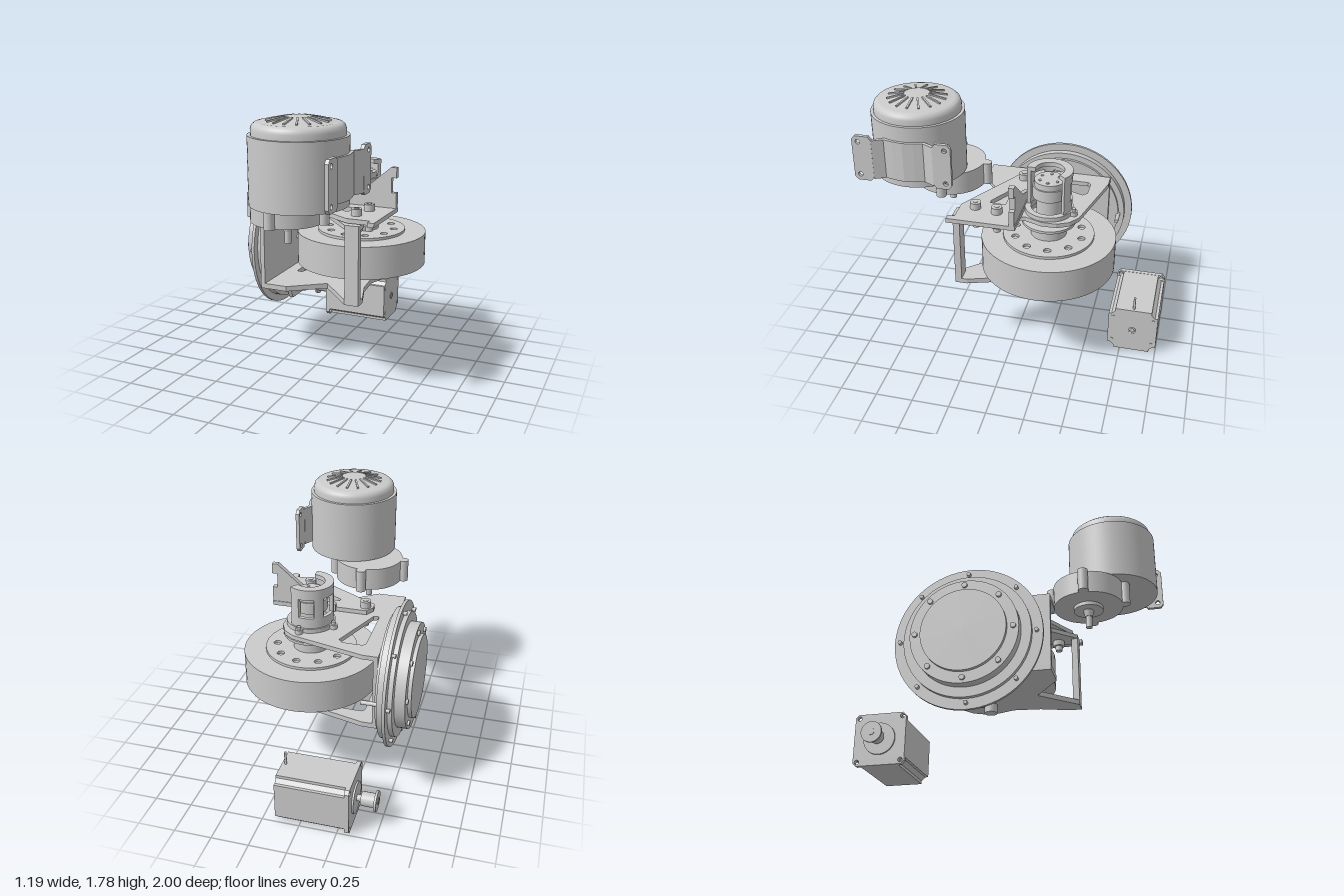
import * as THREE from 'three';

const mat = new THREE.MeshStandardMaterial({ color: 0xcccccc, side: THREE.DoubleSide });
const SHAFT = [0.14, -0.22]; // x, z of the flywheel axis

export function createModel() {
  const root = new THREE.Group();
  let target = root;
  const part = (name) => {
    target = new THREE.Group();
    target.name = name;
    root.add(target);
  };
  const add = (name, geo) => {
    const m = new THREE.Mesh(geo, mat);
    m.name = name;
    target.add(m);
    return m;
  };
  // upright cylinder between two heights
  const cylY = (name, r, y0, y1, x, z, n = 48, r0 = r) =>
    add(name, new THREE.CylinderGeometry(r, r0, y1 - y0, n).translate(x, (y0 + y1) / 2, z));
  // cylinder along x
  const cylX = (name, r, x0, x1, y, z, n = 48) =>
    add(name, new THREE.CylinderGeometry(r, r, x1 - x0, n).rotateZ(Math.PI / 2).translate((x0 + x1) / 2, y, z));
  const box = (name, x0, x1, y0, y1, z0, z1) =>
    add(name, new THREE.BoxGeometry(x1 - x0, y1 - y0, z1 - z0).translate((x0 + x1) / 2, (y0 + y1) / 2, (z0 + z1) / 2));
  const poly = (pts) => new THREE.Shape(pts.map(([a, b]) => new THREE.Vector2(a, b)));
  const circle = (x, y, r) => new THREE.Path().absarc(x, y, r, 0, Math.PI * 2);
  const extrude = (s, depth) => new THREE.ExtrudeGeometry(s, { depth, bevelEnabled: false, curveSegments: 24 });
  // horizontal plate; shape drawn in (x, -z)
  const slab = (name, s, y0, y1) => add(name, extrude(s, y1 - y0).rotateX(-Math.PI / 2).translate(0, y0, 0));
  // plate facing sideways; shape drawn in (-z, y)
  const side = (name, s, x0, x1) => add(name, extrude(s, x1 - x0).rotateY(Math.PI / 2).translate(x0, 0, 0));
  const floor = (pts) => poly(pts.map(([x, z]) => [x, -z]));
  // arc-shaped band around the flywheel axis, angles in degrees
  const band = (name, r0, r1, a0, a1, y0, y1) => {
    const s = new THREE.Shape(), a = a0 * Math.PI / 180, b = a1 * Math.PI / 180;
    s.absarc(SHAFT[0], -SHAFT[1], r1, a, b, false);
    s.absarc(SHAFT[0], -SHAFT[1], r0, b, a, true);
    s.closePath();
    return slab(name, s, y0, y1);
  };

  // Drive motor: body, rounded cap, cooling ribs
  part('driveMotor');
  const mx = 0.085, mz = 0.67;
  cylY('motorBody', 0.305, 1.25, 1.67, mx, mz, 64);
  const capProfile = [[0.285, 1.67], [0.285, 1.705], [0.278, 1.727], [0.262, 1.741], [0.24, 1.746],
    [0.2, 1.746], [0.085, 1.77], [0.085, 1.775], [0, 1.775]];
  add('motorCap', new THREE.LatheGeometry(capProfile.map((p) => new THREE.Vector2(...p)), 64).translate(mx, 0, mz));
  for (let i = 0; i < 16; i++) {
    const rib = add('coolingRib', new THREE.BoxGeometry(0.115, 0.012, 0.012).rotateZ(-0.2).translate(0.138, 1.762, 0));
    rib.position.set(mx, 0, mz);
    rib.rotation.y = i * Math.PI / 8;
  }

  // Gearbox with four lugs and an output shaft
  part('gearbox');
  const gx = -0.075, gz = 0.51;
  cylY('gearboxBody', 0.235, 1.09, 1.245, gx, gz);
  for (let i = 0; i < 4; i++) {
    const a = i * Math.PI / 2, lx = gx + 0.25 * Math.cos(a), lz = gz + 0.25 * Math.sin(a);
    cylY('gearboxLug', 0.034, 1.09, 1.245, lx, lz, 20);
  }
  cylY('gearboxCollar', 0.1, 1.065, 1.09, gx, gz);
  cylY('outputShaftCone', 0.036, 1.02, 1.065, gx, gz, 24, 0.026);
  cylY('outputShaft', 0.022, 0.94, 1.02, gx, gz, 24);

  // Motor strap: thin bent strip with wider screw ears
  part('motorStrap');
  const strip = [[0.395, 0.47], [0.36, 0.54], [0.375, 0.6], [0.385, 0.67], [0.375, 0.74], [0.36, 0.8], [0.395, 0.87]];
  slab('strapBend', floor([...strip, ...strip.map(([x, z]) => [x + 0.026, z]).reverse()]), 1.3, 1.57);
  for (const [z0, z1] of [[0.35, 0.47], [0.87, 1.0]]) {
    const ear = poly([[-z1, 1.31], [-z1 + 0.02, 1.285], [-z0 - 0.02, 1.285], [-z0, 1.31],
      [-z0, 1.57], [-z0 - 0.02, 1.595], [-z1 + 0.02, 1.595], [-z1, 1.57]]);
    const hz = z0 < 0.6 ? 0.39 : 0.96;
    ear.holes.push(circle(-hz, 1.325, 0.016), circle(-hz, 1.555, 0.016));
    side('strapEar', ear, 0.397, 0.422);
  }

  // Flywheel, hub and axle
  part('flywheel');
  const [sx, sz] = SHAFT;
  cylY('flywheelRim', 0.45, 0.645, 0.87, sx, sz, 56);
  const web = new THREE.Shape().absarc(sx, -sz, 0.305, 0, Math.PI * 2);
  for (let i = 0; i < 10; i++) {
    const a = (i + 0.5) * Math.PI / 5 - 0.15;
    web.holes.push(circle(sx + 0.23 * Math.cos(a), -sz + 0.23 * Math.sin(a), 0.025));
  }
  slab('flywheelDisc', web, 0.87, 0.888);
  cylY('hub', 0.12, 0.88, 0.98, sx, sz);
  cylY('hubFlange', 0.18, 0.98, 0.998, sx, sz);
  cylY('axle', 0.045, 0.465, 0.65, sx, sz, 32);
  cylY('axleNeck', 0.085, 0.99, 1.17, sx, sz, 32);
  cylY('axleHead', 0.11, 1.17, 1.25, sx, sz);
  cylY('axleHeadTop', 0.1, 1.25, 1.29, sx, sz);
  for (let i = 0; i < 6; i++) {
    const a = i * Math.PI / 3;
    cylY('headScrew', 0.01, 1.28, 1.296, sx + 0.065 * Math.cos(a), sz + 0.065 * Math.sin(a), 12);
  }

  // Frame: matching top and bottom plates, backing plate and front post
  part('frame');
  for (const [y0, y1] of [[1.03, 1.06], [0.525, 0.56]]) {
    const s = floor([[-0.39, -0.55], [-0.29, -0.55], [0.2, -0.43], [0.27, -0.38], [0.31, -0.3], [0.31, -0.2],
      [0.27, -0.09], [0.29, 0.1], [0.355, 0.3], [0.355, 0.38], [0.26, 0.38], [0.03, 0.13], [-0.2, 0.3], [-0.39, 0.3]]);
    s.holes.push(floor([[-0.28, -0.41], [-0.26, -0.43], [-0.13, -0.43], [-0.1, -0.4],
      [-0.24, -0.04], [-0.27, -0.03], [-0.28, -0.05]]));
    if (y0 > 1) s.holes.push(circle(sx, -sz, 0.115));
    slab('framePlate', s, y0, y1);
  }
  const backing = poly([[-0.3, 0.525], [0.03, 0.525], [0.13, 0.315], [0.31, 0.315], [0.41, 0.525],
    [0.55, 0.525], [0.55, 1.04], [-0.3, 1.04]]);
  backing.holes.push(circle(0.22, 0.36, 0.014));
  side('backingPlate', backing, -0.39, -0.36);
  box('framePost', 0.26, 0.355, 0.525, 1.06, 0.335, 0.38);

  // Stepped round face with rim and screws
  part('roundFace');
  const fy = 0.76;
  for (const [r, x0, x1] of [[0.28, -0.6, -0.57], [0.355, -0.575, -0.505], [0.42, -0.505, -0.475],
    [0.49, -0.475, -0.455], [0.44, -0.455, -0.41], [0.4, -0.41, -0.39]])
    cylX('faceStep', r, x0, x1, fy, sz, 72);
  for (let i = 0; i < 8; i++) {
    const a = i * Math.PI / 4, c = Math.cos(a), s = Math.sin(a);
    cylX('faceScrew', 0.018, -0.59, -0.56, fy + 0.32 * c, sz + 0.32 * s, 16);
    cylX('rimScrew', 0.013, -0.5, -0.46, fy + 0.45 * c, sz + 0.45 * s, 12);
  }
  for (const [y, z, x1] of [[0.36, sz, -0.3], [1.08, -0.46, -0.42], [0.76, -0.62, -0.3], [0.76, sz, -0.3]])
    cylX('facePin', 0.014, -0.45, x1, y, z, 16);

  // Carriage: flat plate with triangular window, upright wing, bolts
  part('carriage');
  const carriage = floor([[-0.19, -0.04], [0.02, -0.04], [0.04, -0.065], [0.46, -0.065], [0.46, 0.39], [0.415, 0.39],
    [0.415, 0.345], [0.26, 0.345], [-0.22, 0.07], [-0.225, 0.02]]);
  carriage.holes.push(floor([[0.02, 0.06], [0.2, 0.06], [0.2, 0.165], [0.17, 0.165], [0.02, 0.08]]));
  slab('carriagePlate', carriage, 1.065, 1.095);
  const wing = poly([[0.02, 1.07], [0.46, 1.07], [0.46, 1.2], [0.425, 1.2], [0.425, 1.3], [0.46, 1.3],
    [0.46, 1.37], [0.42, 1.37], [0.22, 1.2], [0.02, 1.12]]);
  add('uprightWing', extrude(wing, 0.035).translate(0, 0, -0.06));
  for (const [x, z] of [[-0.17, 0.02], [0.315, 0.09], [0.285, 0.24]]) {
    cylY('boltHead', 0.036, 1.095, 1.14, x, z, 24);
    cylY('boltSocket', 0.018, 1.14, 1.143, x, z, 6);
    cylY('boltNut', 0.042, 0.99, 1.03, x, z, 6);
    cylY('boltTip', 0.024, 0.955, 1.1, x, z, 20);
  }

  // Open sensor housing round the axle head
  part('sensorHousing');
  band('housingBase', 0.12, 0.16, 0, 359.9, 1.06, 1.09);
  for (const a of [80, 165, 250]) {
    const t = a * Math.PI / 180;
    cylY('housingLug', 0.025, 1.06, 1.09, sx + 0.172 * Math.cos(t), sz - 0.172 * Math.sin(t), 20);
    cylY('lugScrew', 0.014, 1.09, 1.11, sx + 0.172 * Math.cos(t), sz - 0.172 * Math.sin(t), 12);
  }
  band('housingWallLow', 0.125, 0.15, 50, 270, 1.09, 1.16);
  band('housingWallHigh', 0.125, 0.15, 50, 270, 1.29, 1.33);
  for (const a of [50, 115, 180, 245]) band('housingPillar', 0.125, 0.15, a, a + 25, 1.16, 1.29);
  band('housingCap', 0.095, 0.152, 50, 270, 1.33, 1.36);

  // Small square motor with notched corners, pulley and cable
  part('squareMotor');
  const qy = 0.173, qz = -0.83, h = 0.17, k = 0.125;
  const section = [];
  for (const [a, b] of [[h, k], [k + 0.025, k], [k, k + 0.025], [k, h]]) section.push([a, b]);
  const body = [];
  for (let i = 0; i < 4; i++) {
    const c = Math.round(Math.cos(i * Math.PI / 2)), s = Math.round(Math.sin(i * Math.PI / 2));
    for (const [a, b] of section) body.push([-qz + a * c - b * s, qy + a * s + b * c]);
  }
  side('squareMotorBody', poly(body), -0.3, 0.16);
  const e = 0.172, f = 0.15;
  const flange = poly([[e, -f], [e, f], [f, e], [-f, e], [-e, f], [-e, -f], [-f, -e], [f, -e]]
    .map(([a, b]) => [a - qz, b + qy]));
  for (const a of [-1, 1]) for (const b of [-1, 1]) {
    flange.holes.push(circle(-qz + a * 0.146, qy + b * 0.146, 0.015));
    cylX('endScrew', 0.012, 0.155, 0.164, qy + b * 0.1, qz + a * 0.14, 12);
  }
  side('squareMotorFlange', flange, -0.328, -0.298);
  cylX('pilotRing', 0.105, -0.34, -0.325, qy, qz);
  cylX('motorShaft', 0.022, -0.48, -0.33, qy, qz, 24);
  cylX('pulleyFlange', 0.068, -0.475, -0.46, qy, qz);
  cylX('pulleyBody', 0.047, -0.46, -0.37, qy, qz, 32);
  add('rearBearing', new THREE.TorusGeometry(0.02, 0.006, 8, 24).rotateY(Math.PI / 2).translate(0.16, qy, qz));
  cylY('cable', 0.008, 0.34, 0.435, 0.135, qz, 12);

  return root;
}
